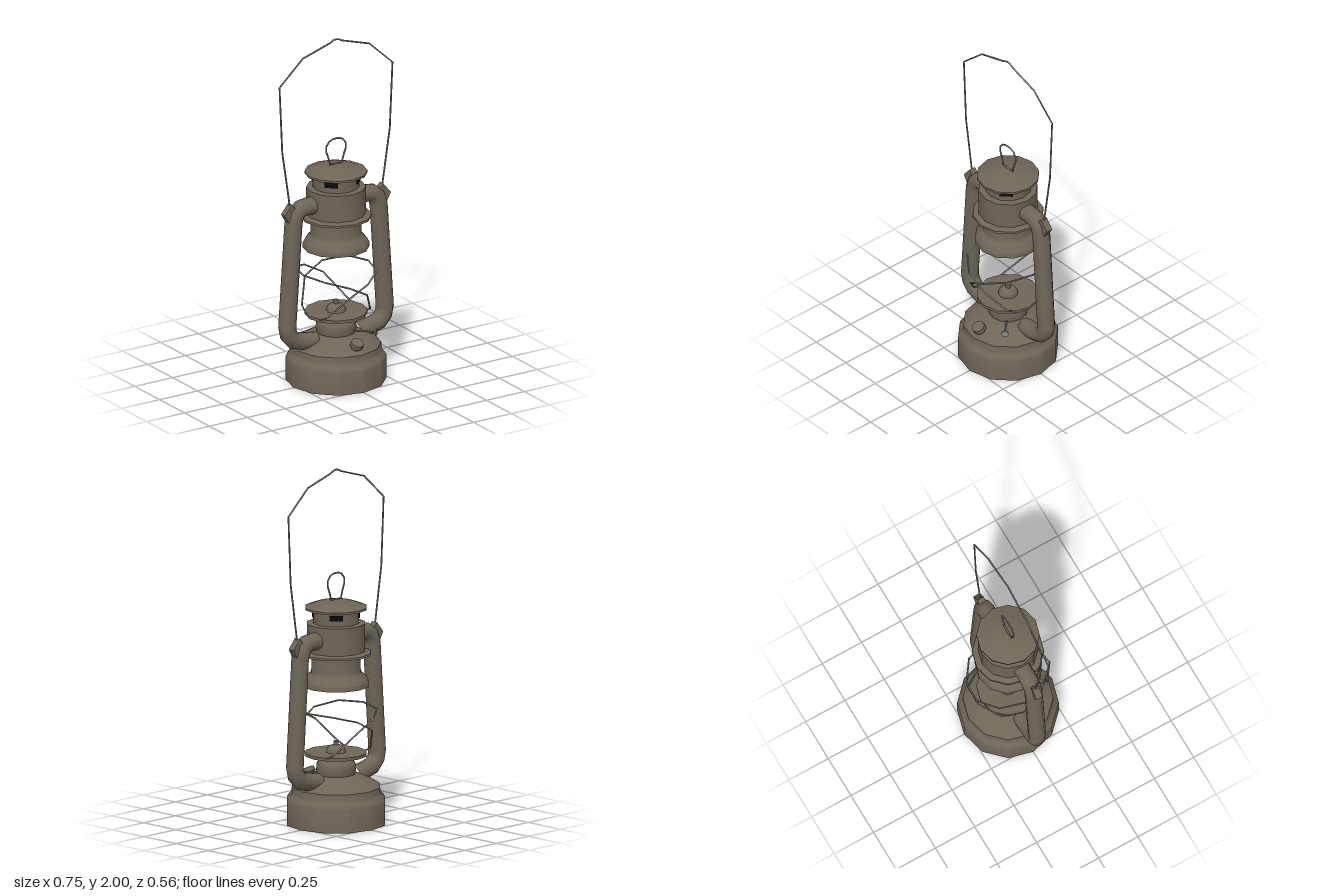
import * as THREE from 'three';
import { toCreasedNormals } from 'three/addons/utils/BufferGeometryUtils.js';

// Curve that runs straight between its points, one tube segment per span
class Polyline extends THREE.Curve {
  constructor(points) {
    super();
    this.points = points.map((p) => new THREE.Vector3(p[0], p[1], p[2] || 0));
  }
  getPoint(t, target = new THREE.Vector3()) {
    const n = this.points.length - 1;
    const i = Math.min(Math.floor(t * n + 1e-9), n - 1);
    return target.lerpVectors(this.points[i], this.points[i + 1], t * n - i);
  }
  getPointAt(u, target) { return this.getPoint(u, target); }
  getTangentAt(u, target) { return this.getTangent(u, target); }
}

export function createModel() {
  const model = new THREE.Group();
  model.name = 'lantern';
  const material = (name, color) => {
    const m = new THREE.MeshStandardMaterial({ color });
    m.name = name;
    return m;
  };
  const body = material('aged brown metal', 0x6e6658);
  const steel = material('steel wire', 0x85847e);
  const dark = material('dark opening', 0x080808);

  const add = (name, geometry, mat, parent = model) => {
    const mesh = new THREE.Mesh(geometry, mat);
    mesh.name = name;
    parent.add(mesh);
    return mesh;
  };
  const lathe = (name, profile, sides = 12) => add(name, toCreasedNormals(
    new THREE.LatheGeometry(profile.map((p) => new THREE.Vector2(...p)), sides), 0.65), body);
  const tube = (name, points, radius, sides, mat, closed = false) => add(name,
    new THREE.TubeGeometry(new Polyline(points), points.length - 1, radius, sides, closed), mat);
  const flipX = (points) => points.map(([x, y, z = 0]) => [-x, y, z]);
  // Open path from the right end to the centre, completed by its mirror image
  const arch = (half) => [...half, ...flipX(half).reverse().slice(1)];

  // Fuel tank
  lathe('fuelTank', [[0, 0], [0.28, 0], [0.28, 0.135], [0.268, 0.152], [0.254, 0.17],
    [0.25, 0.21], [0.2, 0.243], [0.14, 0.27], [0.11, 0.278], [0, 0.28]]);

  // Burner, its plate and wick holder
  lathe('burner', [[0.105, 0.27], [0.113, 0.3], [0.11, 0.335], [0.09, 0.37], [0.08, 0.383],
    [0.175, 0.383], [0.175, 0.4], [0.055, 0.4], [0.052, 0.42], [0.035, 0.437],
    [0.014, 0.442], [0.014, 0.463], [0, 0.463]]);

  // Chimney: flared bell, flange, drum and vented neck
  lathe('chimney', [[0.145, 0.79], [0.145, 0.775], [0.185, 0.775], [0.185, 0.8], [0.172, 0.825],
    [0.145, 0.848], [0.14, 0.865], [0.14, 0.95], [0.2, 0.955], [0.198, 0.966], [0.165, 0.975],
    [0.165, 1.13], [0.13, 1.133], [0.13, 1.215]]);
  const opening = add('chimneyOpening', new THREE.CircleGeometry(0.147, 12), dark);
  opening.rotation.x = Math.PI / 2;
  opening.position.y = 0.785;

  // Cap
  lathe('cap', [[0.12, 1.21], [0.175, 1.21], [0.175, 1.222], [0.1, 1.248], [0.04, 1.26], [0, 1.262]]);

  // Vent slots on the diagonals of the neck
  for (let i = 0; i < 4; i++) {
    const a = Math.PI / 4 + i * Math.PI / 2;
    const slot = add('ventSlot', new THREE.BoxGeometry(0.074, 0.03, 0.008), dark);
    slot.position.set(Math.sin(a) * 0.127, 1.18, Math.cos(a) * 0.127);
    slot.rotation.y = a;
  }

  // Side tubes and the ears that hold the bail
  const side = [[0.13, 1.05], [0.19, 1.05], [0.235, 1.045], [0.265, 1.02], [0.281, 0.97],
    [0.322, 0.36], [0.312, 0.315], [0.28, 0.28], [0.22, 0.262], [0.14, 0.25]];
  const ear = [[0.25, 1.03], [0.285, 0.985], [0.325, 0.985], [0.35, 1.03], [0.302, 1.088]];
  for (const [label, mirror] of [['left', (p) => p], ['right', flipX]]) {
    tube(label + 'SideTube', mirror(side), 0.05, 12, body);
    const shape = new THREE.Shape(mirror(ear).map(([x, y]) => new THREE.Vector2(x, y)));
    const plate = add(label + 'BailEar',
      new THREE.ExtrudeGeometry(shape, { depth: 0.04, bevelEnabled: false }), body);
    plate.position.z = -0.02;
  }

  // Bail handle
  tube('bailHandle', arch([[0.3, 1.04], [0.355, 1.4], [0.373, 1.785], [0.22, 1.925],
    [0.04, 1.98], [0.018, 1.992], [0, 1.995]]), 0.005, 6, steel);

  // Lifting loop on the cap
  tube('capLoop', arch([[0, 1.264], [0.038, 1.264], [0.05, 1.305], [0.065, 1.345], [0.064, 1.375],
    [0.045, 1.4], [0.022, 1.41], [0, 1.412]]), 0.005, 6, steel);

  // Globe guard: two tilted hoops crossing front and back
  const halfHoop = [[0.153, 0.388, 0], [0.153, 0.392, 0.07], [0.143, 0.42, 0.125],
    [0.06, 0.545, 0.222], [-0.06, 0.61, 0.23], [-0.17, 0.642, 0.15], [-0.215, 0.648, 0]];
  const hoop = [...halfHoop, ...halfHoop.map(([x, y, z]) => [x, y, -z]).reverse().slice(1)];
  tube('guardHoopA', hoop, 0.005, 6, steel, true);
  tube('guardHoopB', flipX(hoop), 0.005, 6, steel, true);

  // Filler cap on the front shoulder
  const filler = new THREE.Group();
  filler.name = 'fillerCap';
  filler.position.set(0, 0.265, 0.212);
  filler.rotation.x = 0.5;
  model.add(filler);
  add('fillerLid', new THREE.CylinderGeometry(0.036, 0.038, 0.026, 12), body, filler);
  add('fillerNeck', new THREE.CylinderGeometry(0.026, 0.028, 0.05, 12), body, filler)
    .position.y = -0.03;

  // Wick adjuster rod and knob
  tube('wickRod', [[0.06, 0.288, 0.06], [0.162, 0.288, 0.162]], 0.005, 6, steel);
  const knob = add('wickKnob', new THREE.CylinderGeometry(0.02, 0.02, 0.008, 10), steel);
  knob.position.set(0.16, 0.288, 0.16);
  knob.rotation.set(Math.PI / 2, 0, -Math.PI / 4);

  return model;
}
